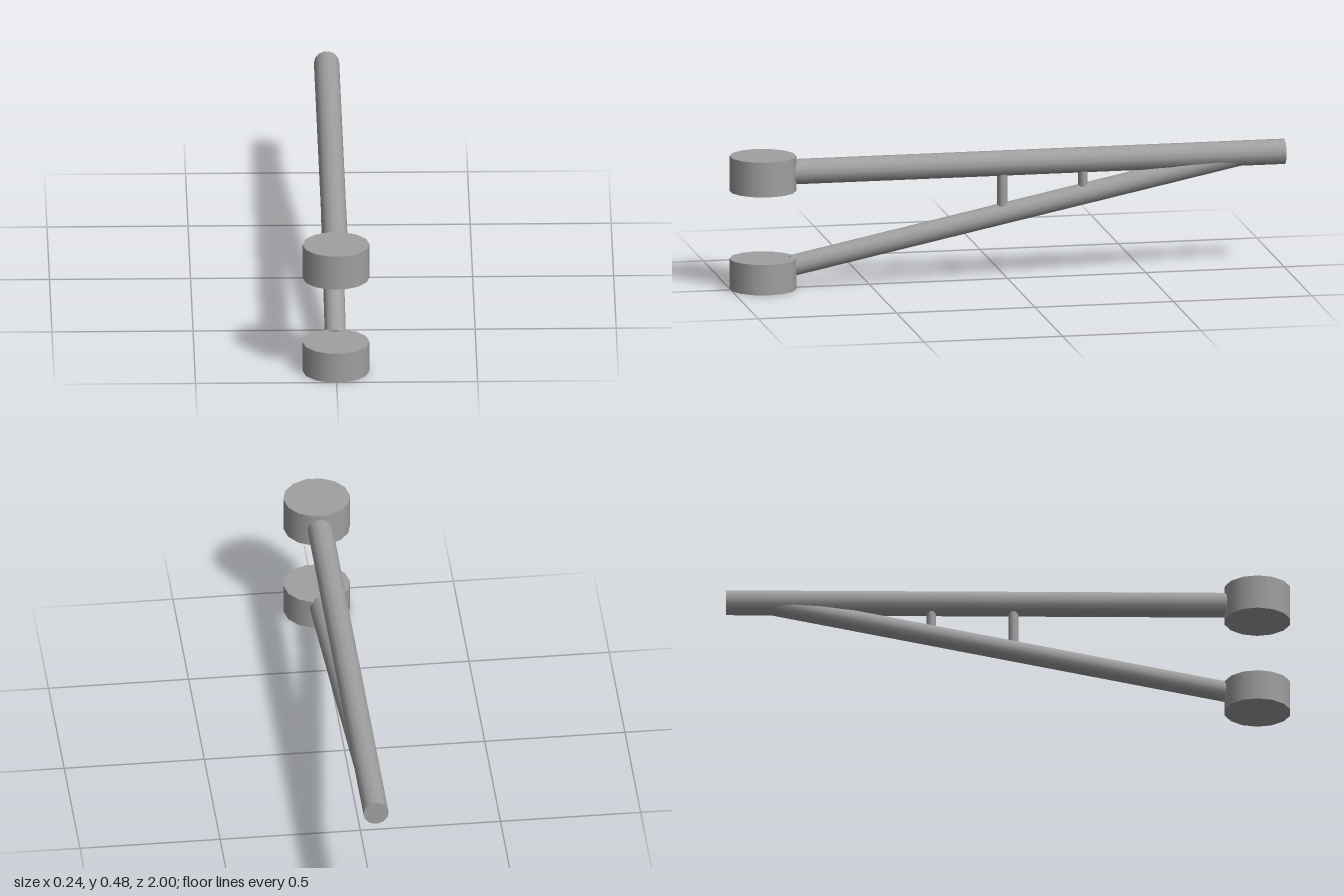
import * as THREE from 'three';

const SIDES = 14;

export function createModel() {
  const group = new THREE.Group();
  const grey = new THREE.MeshStandardMaterial({ color: 0xa0a0a0 });
  grey.name = 'plain grey';

  // Closed round bar between two points, with corners on the x axis
  function bar(name, from, to, radius, depthScale = 1) {
    const a = new THREE.Vector3(...from);
    const b = new THREE.Vector3(...to);
    const axis = b.clone().sub(a);
    const geometry = new THREE.CylinderGeometry(radius, radius, axis.length(), SIDES, 1, false, Math.PI / 2);
    geometry.scale(1, 1, depthScale);
    const mesh = new THREE.Mesh(geometry, grey);
    mesh.name = name;
    mesh.position.copy(a).add(b).multiplyScalar(0.5);
    mesh.quaternion.setFromUnitVectors(new THREE.Vector3(0, 1, 0), axis.normalize());
    group.add(mesh);
  }

  // Pivot drums at the front
  bar('upperPivot', [0, 0.355, 0.884], [0, 0.481, 0.884], 0.119);
  bar('lowerPivot', [0, 0, 0.884], [0, 0.11, 0.884], 0.119);

  // Level main tube and the sloping brace that runs into it
  bar('mainTube', [0, 0.419, 0.79], [0, 0.419, -1], 0.045);
  bar('diagonalBrace', [0, 0.079, 0.78], [0, 0.42, -0.88], 0.0375);

  // Short flattened struts between the tubes
  bar('frontStrut', [0, 0.25, 0.019], [0, 0.4, 0.019], 0.023, 0.8);
  bar('rearStrut', [0, 0.31, -0.272], [0, 0.4, -0.272], 0.0225, 0.75);

  return group;
}
